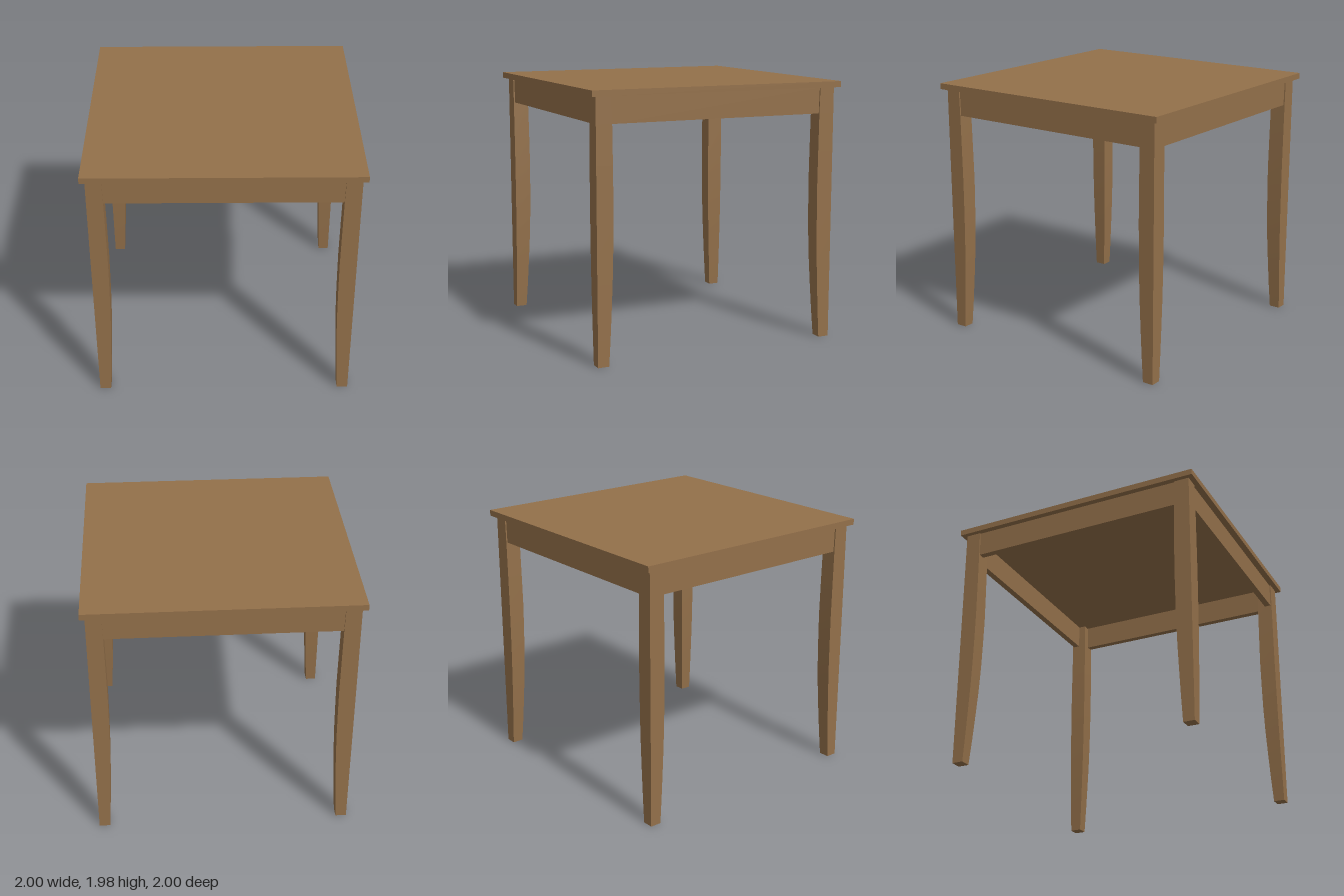
import * as THREE from 'three';

const TOP_Y = 1.975, UNDER_Y = 1.93, APRON_Y = 1.735;
const OUT_X = 0.965, OUT_Z = 0.96; // outer faces of the legs

// Leg thickness by height: slim foot, slight swell in the middle
const HEIGHTS = [0, 0.2, 0.4, 0.6, 0.8, 1.0, 1.2, 1.45, APRON_Y, UNDER_Y];
const WIDTHS = [0.083, 0.095, 0.105, 0.114, 0.12, 0.123, 0.125, 0.123, 0.12, 0.115];

function legGeometry(sx, sz) {
  const n = HEIGHTS.length - 1;
  const geometry = new THREE.BoxGeometry(1, 1, 1, 1, n, 1);
  const p = geometry.attributes.position;
  for (let i = 0; i < p.count; i++) {
    const k = Math.round((p.getY(i) + 0.5) * n);
    const w = WIDTHS[k];
    // Outer faces stay straight, inner faces follow the curve
    const x = p.getX(i) * sx > 0 ? OUT_X : OUT_X - w;
    const z = p.getZ(i) * sz > 0 ? OUT_Z : OUT_Z - w - 0.002;
    p.setXYZ(i, sx * x, HEIGHTS[k], sz * z);
  }
  geometry.computeVertexNormals();
  return geometry;
}

export function createModel() {
  const table = new THREE.Group();
  table.name = 'table';
  const wood = new THREE.MeshStandardMaterial({ color: 0x93704a });
  wood.name = 'brown wood';

  const add = (name, geometry, x = 0, y = 0, z = 0) => {
    const mesh = new THREE.Mesh(geometry, wood);
    mesh.name = name;
    mesh.position.set(x, y, z);
    table.add(mesh);
  };

  // Square top
  add('tableTop', new THREE.BoxGeometry(2, TOP_Y - UNDER_Y, 2), 0, (TOP_Y + UNDER_Y) / 2, 0);

  // Four legs
  for (const sx of [1, -1]) {
    for (const sz of [1, -1]) {
      add(`${sz > 0 ? 'front' : 'back'}${sx > 0 ? 'Left' : 'Right'}Leg`, legGeometry(sx, sz));
    }
  }

  // Apron boards, slightly recessed between the legs
  const h = UNDER_Y - APRON_Y, y = (UNDER_Y + APRON_Y) / 2;
  const thick = 0.05, inset = 0.01 + thick / 2;
  for (const s of [1, -1]) {
    add(s > 0 ? 'frontApron' : 'backApron', new THREE.BoxGeometry(1.7, h, thick), 0, y, s * (OUT_Z - inset));
    add(s > 0 ? 'leftApron' : 'rightApron', new THREE.BoxGeometry(thick, h, 1.69), s * (OUT_X - inset), y, 0);
  }
  return table;
}
